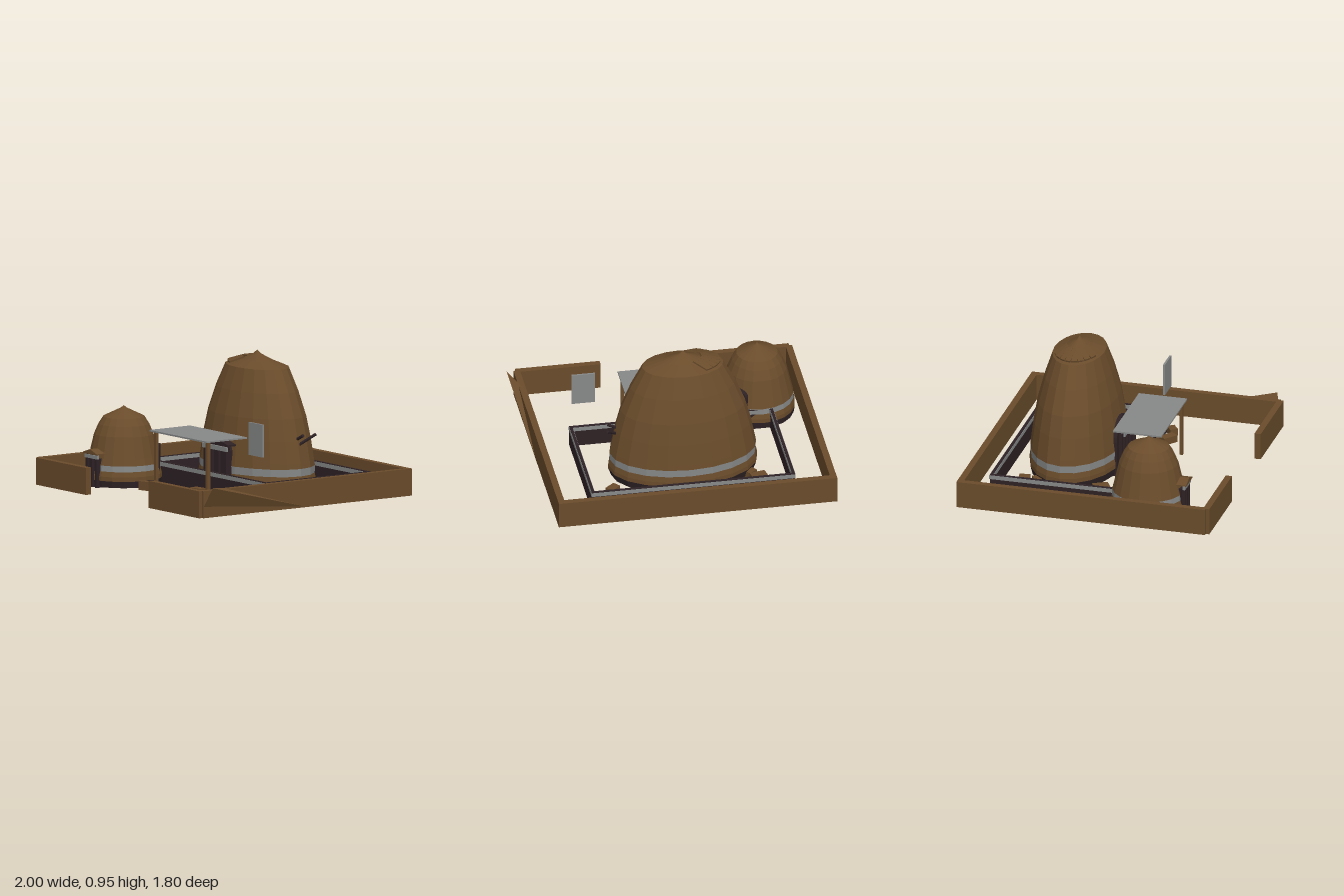
import * as THREE from 'three';
import { ConvexGeometry } from 'three/addons/geometries/ConvexGeometry.js';

const material = (name, color) => {
  const m = new THREE.MeshStandardMaterial({ color, flatShading: true, side: THREE.DoubleSide });
  m.name = name;
  return m;
};

export function createModel() {
  const clay = material('clay brown', 0x6a4c2b);
  const dark = material('dark timber', 0x2e2225);
  const grey = material('grey metal', 0x878888);
  const model = new THREE.Group();

  const add = (name, geo, mat, parent = model) => {
    const mesh = new THREE.Mesh(geo, mat);
    mesh.name = name;
    parent.add(mesh);
    return mesh;
  };
  // Box given by its extents
  const box = (name, mat, x0, x1, y0, y1, z0, z1, parent = model) => {
    const mesh = add(name, new THREE.BoxGeometry(x1 - x0, y1 - y0, z1 - z0), mat, parent);
    mesh.position.set((x0 + x1) / 2, (y0 + y1) / 2, (z0 + z1) / 2);
    return mesh;
  };
  const group = (name, x, y, z, ry = 0) => {
    const g = new THREE.Group();
    g.name = name;
    g.position.set(x, y, z);
    g.rotation.y = ry;
    model.add(g);
    return g;
  };
  const lathe = (pts) => new THREE.LatheGeometry(pts.map(([r, y]) => new THREE.Vector2(r, y)), 20);
  // Straight round stick between two points
  const stick = (name, a, b, r) => {
    const p = new THREE.Vector3(...a), q = new THREE.Vector3(...b);
    const mesh = add(name, new THREE.CylinderGeometry(r, r, p.distanceTo(q), 8), dark);
    mesh.position.copy(p).add(q).multiplyScalar(0.5);
    mesh.quaternion.setFromUnitVectors(new THREE.Vector3(0, 1, 0), q.sub(p).normalize());
  };
  // Gable roof prism, ridge running along z
  const gable = (name, mat, w, h, eave, depth, parent) => {
    const s = new THREE.Shape();
    s.moveTo(-w / 2, 0);
    s.lineTo(w / 2, 0);
    s.lineTo(w / 2, eave);
    s.lineTo(0, h);
    s.lineTo(-w / 2, eave);
    return add(name, new THREE.ExtrudeGeometry(s, { depth, bevelEnabled: false }), mat, parent);
  };
  // Rounded dark doorway block
  const archway = (name, w, h, depth, parent) => {
    const s = new THREE.Shape();
    s.moveTo(-w / 2, 0);
    s.lineTo(w / 2, 0);
    s.lineTo(w / 2, h - w / 2);
    s.absarc(0, h - w / 2, w / 2, 0, Math.PI);
    s.lineTo(-w / 2, 0);
    return add(name, new THREE.ExtrudeGeometry(s, { depth, bevelEnabled: false, curveSegments: 6 }), dark, parent);
  };

  // Outer yard wall with a front opening
  box('outerWallBack', clay, -1, 0.945, 0, 0.188, -0.905, -0.86);
  box('outerWallRight', clay, -1, -0.955, 0, 0.188, -0.86, 0.87);
  box('outerWallLeft', clay, 0.9, 0.945, 0, 0.188, -0.86, 0.87);
  box('outerWallFrontRight', clay, -0.98, -0.395, 0, 0.188, 0.85, 0.895);
  box('outerWallFrontLeft', clay, 0.34, 0.93, 0, 0.188, 0.85, 0.895);
  // Leaning slab against the left wall
  add('leaningSlab', new ConvexGeometry([
    [0.944, 0.004, 0], [1, 0.213, 0.83], [0.945, 0.08, 0.865], [0.92, 0.188, 0.64],
  ].map((p) => new THREE.Vector3(...p))), clay);

  // Inner wall: dark boards with a grey stripe
  const ring = (name, mat, y0, y1, e) => {
    for (const [x0, x1] of [[-0.735, -0.715], [0.665, 0.685]])
      box(name, mat, x0 - e, x1 + e, y0, y1, -0.74 - e, 0.15 + e);
    for (const [z0, z1] of [[-0.74, -0.72], [0.13, 0.15]])
      box(name, mat, -0.715, 0.665, y0, y1, z0 - e, z1 + e);
  };
  ring('innerWall', dark, 0, 0.15, 0);
  ring('innerWallStripe', grey, 0.118, 0.146, 0.003);

  // Domed huts: base, skirt, band and shell
  const dome = (name, x, z, squash, base, skirt, band, shell) => {
    const g = group(name, x, 0, z);
    g.scale.z = squash;
    add('hutBase', lathe(base), dark, g);
    add('hutSkirt', lathe(skirt), clay, g);
    add('hutBand', lathe(band), grey, g);
    add('hutShell', lathe(shell), clay, g);
    return g;
  };
  const mainHut = dome('mainHut', -0.028, -0.295, 0.63,
    [[0, 0.005], [0.5, 0.005], [0.52, 0.06]],
    [[0.52, 0.06], [0.52, 0.09], [0.51, 0.13]],
    [[0.51, 0.13], [0.512, 0.182]],
    [[0.512, 0.182], [0.505, 0.22], [0.475, 0.37], [0.435, 0.52], [0.365, 0.69], [0.283, 0.845],
      [0.14, 0.885], [0.035, 0.925], [0, 0.95]]);
  dome('smallHut', -0.667, 0.375, 1,
    [[0, 0.005], [0.255, 0.005], [0.262, 0.05]],
    [[0.262, 0.05], [0.262, 0.08], [0.253, 0.115]],
    [[0.253, 0.115], [0.251, 0.155]],
    [[0.251, 0.155], [0.24, 0.2], [0.205, 0.35], [0.175, 0.42], [0.143, 0.47],
      [0.07, 0.505], [0.018, 0.53], [0, 0.547]]);

  // Overlapping roof planks on one side of the main cap
  for (let i = 0; i < 8; i++) {
    const a = Math.PI * (0.72 + i * 0.085);
    const plank = new THREE.Group();
    plank.name = 'roofPlankMount';
    plank.rotation.y = a;
    mainHut.add(plank);
    const p = box('roofPlank', clay, -0.07, 0.07, -0.006, 0.006, -0.03, 0.03, plank);
    p.position.set(0.195, 0.882, 0);
    p.rotation.z = -0.28;
  }

  // Main entrance: arch, posts, beam and gable
  const door = group('mainEntrance', -0.025, 0, 0);
  archway('mainArch', 0.3, 0.4, 0.09, door).position.set(-0.03, 0, -0.07);
  for (const x of [-0.125, -0.045, 0.035, 0.125])
    box('entrancePost', dark, x - 0.009, x + 0.009, 0, 0.3, 0.05, 0.068, door);
  box('entranceDoor', dark, -0.12, 0.12, 0, 0.29, 0.0, 0.04, door);
  box('entranceBeam', grey, -0.145, 0.14, 0.287, 0.318, 0.056, 0.07, door);
  gable('entranceRoof', dark, 0.32, 0.05, 0.012, 0.07, door).position.set(0, 0.325, 0.005);

  // Small hut porch
  const porch = group('smallPorch', -0.667, 0, 0.6);
  for (const x of [-0.055, 0, 0.055])
    box('porchPost', dark, x - 0.01, x + 0.01, 0, 0.235, 0.032, 0.052, porch);
  box('porchDoor', dark, -0.06, 0.06, 0, 0.2, -0.02, 0.028, porch);
  box('porchBeam', grey, -0.075, 0.075, 0.2, 0.225, 0.038, 0.056, porch);
  gable('porchRoof', clay, 0.16, 0.035, 0.008, 0.09, porch).position.set(0, 0.23, -0.025);

  // Rear doorway of the small hut
  const rear = group('smallRearDoor', -0.667, 0, 0.375, Math.PI - 0.7);
  archway('smallRearArch', 0.12, 0.285, 0.11, rear).position.set(0, 0, 0.14);

  // Canopy on posts, and the upright panel
  box('canopy', grey, -0.36, 0.305, 0.4, 0.411, 0.035, 0.38);
  for (const x of [-0.325, 0.278])
    box('canopyPost', clay, x - 0.012, x + 0.012, 0, 0.4, 0.335, 0.359);
  box('uprightPanel', grey, 0.503, 0.667, 0.325, 0.553, 0.152, 0.166);

  // Sticks poking out of the main hut
  stick('longStick', [0.43, 0.335, -0.3], [0.515, 0.42, -0.4], 0.01);
  stick('shortStick', [0.42, 0.375, -0.295], [0.495, 0.415, -0.305], 0.011);

  // Scattered blocks: x, z, width, depth, height, turn
  [
    [-0.515, -0.555, 0.11, 0.075, 0.06, 0.2], [-0.47, -0.475, 0.07, 0.055, 0.05, 0.6],
    [0.5, -0.525, 0.085, 0.06, 0.05, 0.7], [-0.5, -0.01, 0.08, 0.11, 0.06, 0.5],
    [0.45, 0.205, 0.11, 0.065, 0.05, -0.7], [0.59, 0.195, 0.075, 0.055, 0.05, 0.6],
    [-0.315, 0.43, 0.13, 0.04, 0.062, 0.25], [0.3, 0.215, 0.06, 0.06, 0.05, 0.5],
    [0.03, 0.25, 0.1, 0.06, 0.045, 0.1],
  ].forEach(([x, z, w, d, h, turn]) => {
    const b = add('looseBlock', new THREE.BoxGeometry(w, h, d), clay);
    b.position.set(x, h / 2, z);
    b.rotation.y = turn;
  });

  return model;
}
